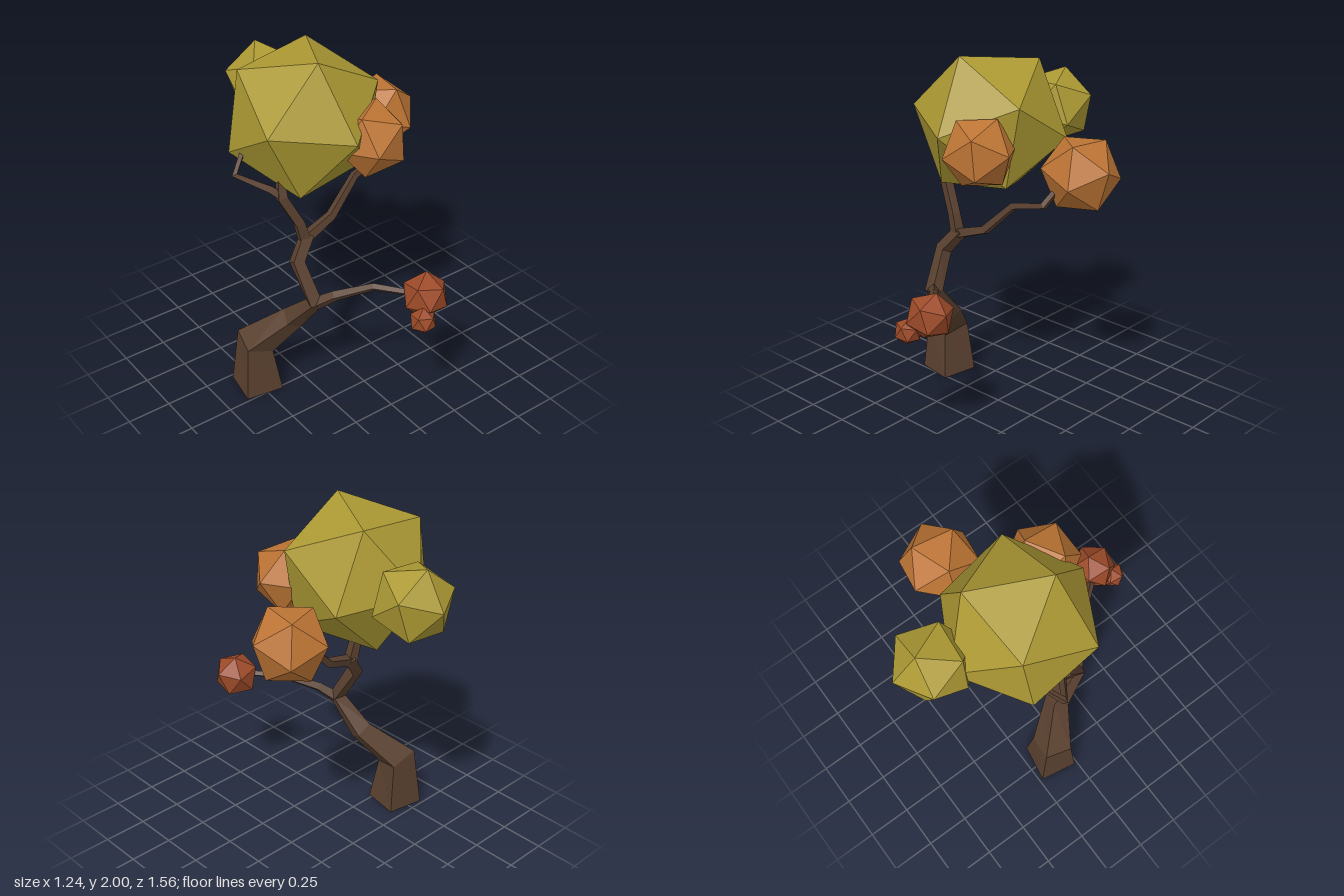
import * as THREE from 'three';

const V = (p) => new THREE.Vector3(p[0], p[1], p[2]);
const paint = (color) => new THREE.MeshStandardMaterial({ color, flatShading: true });

// Square-section limb swept through points [x, y, z, radius]
function limb(name, points, material, startAngle = 55) {
  const sides = 4, pos = [], index = [];
  const centres = points.map(V);
  const last = centres.length - 1;
  const segment = (i) => centres[i + 1].clone().sub(centres[i]).normalize();
  const frame = new THREE.Quaternion();
  let previous = new THREE.Vector3(0, 1, 0);

  centres.forEach((centre, i) => {
    const tangent = i === 0 ? segment(0) : segment(i - 1);
    if (i > 0 && i < last) tangent.add(segment(i)).normalize();
    frame.premultiply(new THREE.Quaternion().setFromUnitVectors(previous, tangent));
    previous = tangent;
    for (let s = 0; s < sides; s++) {
      const a = THREE.MathUtils.degToRad(startAngle) + (s / sides) * Math.PI * 2;
      const corner = new THREE.Vector3(Math.cos(a), 0, Math.sin(a));
      corner.multiplyScalar(points[i][3]).applyQuaternion(frame).add(centre);
      pos.push(corner.x, corner.y, corner.z);
    }
  });

  for (let i = 0; i < last; i++) {
    for (let s = 0; s < sides; s++) {
      const a = i * sides + s, b = i * sides + (s + 1) % sides;
      index.push(a, a + sides, b + sides, a, b + sides, b);
    }
  }
  // End caps
  const t = last * sides;
  index.push(0, 1, 2, 0, 2, 3, t, t + 2, t + 1, t, t + 3, t + 2);

  const geometry = new THREE.BufferGeometry();
  geometry.setAttribute('position', new THREE.Float32BufferAttribute(pos, 3));
  geometry.setIndex(index);
  geometry.computeVertexNormals();
  const mesh = new THREE.Mesh(geometry, material);
  mesh.name = name;
  return mesh;
}

// Icosahedral leaf clump, turned so that two neighbouring corners point towards a and b
function clump(name, centre, radius, a, b, material) {
  const mesh = new THREE.Mesh(new THREE.IcosahedronGeometry(radius, 0), material);
  const c = V(centre);
  const da = V(a).sub(c).normalize(), db = V(b).sub(c).normalize();
  const z = da.clone().add(db).normalize();
  const y = da.clone().sub(db).normalize();
  const x = y.clone().cross(z);
  mesh.quaternion.setFromRotationMatrix(new THREE.Matrix4().makeBasis(x, y, z));
  mesh.position.copy(c);
  mesh.name = name;
  return mesh;
}

export function createModel() {
  const tree = new THREE.Group();
  tree.name = 'tree';
  const bark = paint(0x59402f);
  const olive = paint(0xab9833);
  const orange = paint(0xbc7434);
  const rust = paint(0x9c4a28);

  // Trunk and branches
  tree.add(
    limb('trunk', [
      [-0.498, 0, -0.105, 0.154], [-0.5, 0.305, -0.105, 0.115], [-0.345, 0.485, 0.04, 0.07],
      [-0.305, 0.67, 0.2, 0.052], [-0.335, 0.88, 0.085, 0.046], [-0.24, 1.0, 0.045, 0.042],
    ], bark),
    limb('lowBranch', [
      [-0.31, 0.65, 0.19, 0.04], [-0.23, 0.725, 0.28, 0.03],
      [-0.08, 0.8, 0.42, 0.022], [0.06, 0.8, 0.6, 0.018],
    ], bark),
    limb('leftwardBranch', [
      [-0.26, 0.975, 0.05, 0.04], [-0.29, 1.09, 0.045, 0.035],
      [-0.375, 1.26, 0.015, 0.036], [-0.36, 1.4, -0.02, 0.024],
    ], bark),
    limb('twig', [
      [-0.365, 1.26, 0.02, 0.03], [-0.42, 1.31, -0.02, 0.026],
      [-0.57, 1.4, -0.12, 0.021], [-0.48, 1.48, -0.18, 0.016],
    ], bark),
    limb('outerBranch', [
      [-0.26, 0.98, 0.05, 0.036], [-0.07, 1.045, 0.03, 0.029], [0.11, 1.22, 0.0, 0.024],
      [0.305, 1.265, -0.015, 0.022], [0.35, 1.36, -0.08, 0.018],
    ], bark),
  );

  // Leaf clumps
  tree.add(
    clump('crown', [-0.152, 1.617, -0.1], 0.43, [-0.19, 2.0, 0.09], [0.02, 1.96, -0.31], olive),
    clump('backClump', [-0.08, 1.625, -0.565], 0.22, [-0.08, 1.835, -0.65], [-0.06, 1.64, -0.78], olive),
    clump('frontClump', [0.055, 1.555, 0.205], 0.205, [0.13, 1.735, 0.15], [-0.06, 1.73, 0.27], orange),
    clump('outerClump', [0.41, 1.425, -0.19], 0.218, [0.45, 1.62, -0.06], [0.49, 1.61, -0.3], orange),
    clump('lowClump', [0.1, 0.795, 0.628], 0.13, [0.13, 0.91, 0.6], [0.01, 0.87, 0.67], rust),
    clump('lowestClump', [0.02, 0.712, 0.71], 0.075, [0.03, 0.78, 0.7], [-0.04, 0.75, 0.74], rust),
  );
  return tree;
}
